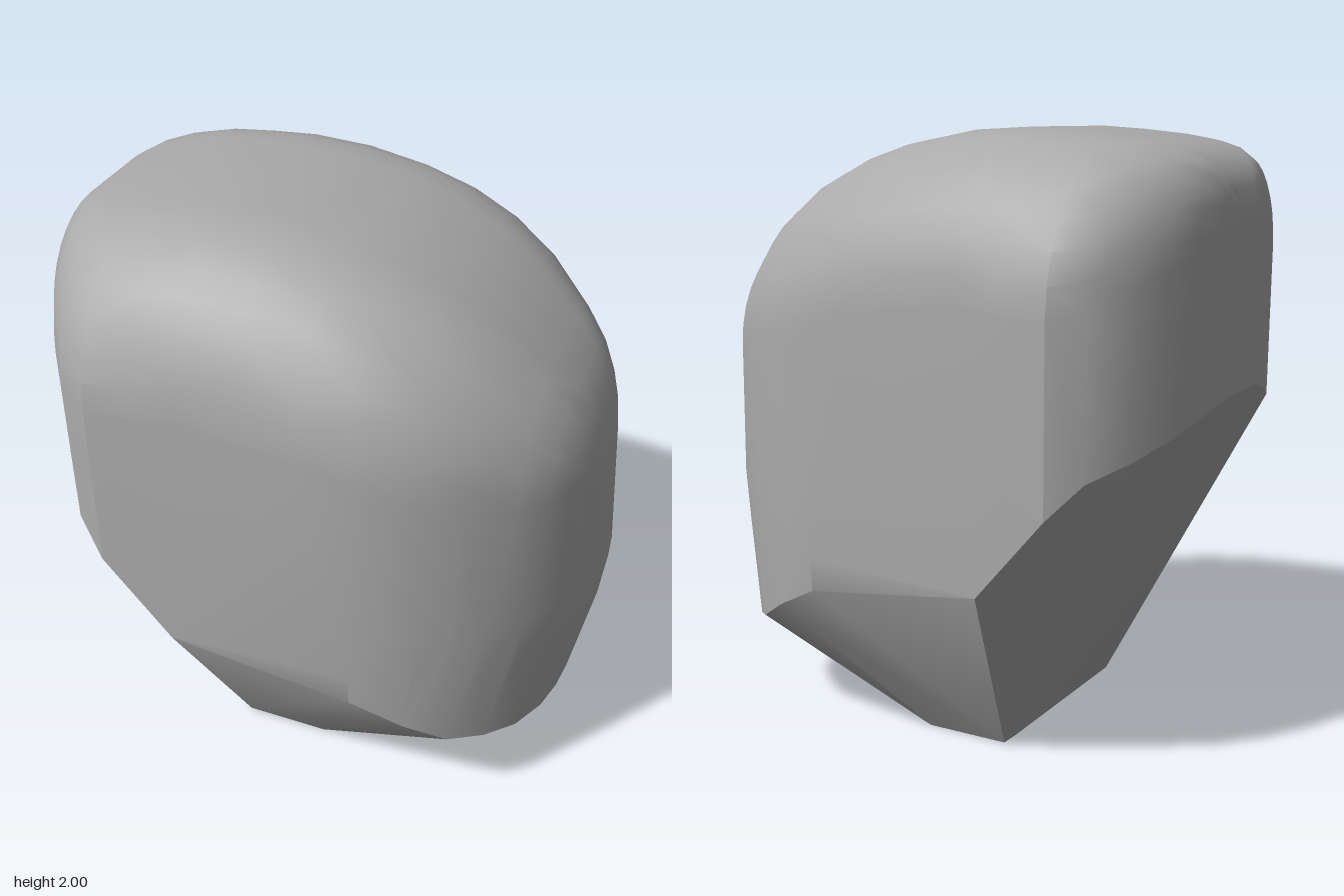
import * as THREE from 'three';
import { ConvexGeometry } from 'three/addons/geometries/ConvexGeometry.js';
import { toCreasedNormals } from 'three/addons/utils/BufferGeometryUtils.js';

// Upright cross-sections along x: [x, top height, half width]
const sections = [
  [-0.92, 1.75, 0.1], [-0.905, 1.82, 0.2], [-0.88, 1.87, 0.32], [-0.84, 1.91, 0.44],
  [-0.78, 1.94, 0.55], [-0.7, 1.96, 0.655], [-0.6, 1.975, 0.713], [-0.45, 1.99, 0.712],
  [-0.3, 2, 0.711], [-0.1, 1.99, 0.709], [0.1, 1.953, 0.707], [0.25, 1.905, 0.704],
  [0.4, 1.837, 0.665], [0.55, 1.74, 0.59], [0.7, 1.605, 0.465], [0.77, 1.53, 0.385],
  [0.82, 1.45, 0.3], [0.85, 1.38, 0.23], [0.873, 1.29, 0.14],
];

// Half of the rounded plan at the widest height: [x, z]
const girth = [
  [0.25, 0.704], [0.35, 0.682], [0.45, 0.642], [0.55, 0.588], [0.65, 0.515],
  [0.74, 0.427], [0.82, 0.32], [0.875, 0.21], [0.905, 0.1], [0.915, 0],
];

// Half of the lower rim, where the side walls meet the tapering underside: [x, y, z]
const rim = [
  [-0.92, 1.2, 0.1], [-0.9, 1.17, 0.22], [-0.86, 1.115, 0.38], [-0.79, 1.06, 0.53],
  [-0.7, 1.01, 0.655], [-0.6, 0.9, 0.712], [-0.37, 0.63, 0.711], [0.25, 0.54, 0.695],
  [0.42, 0.45, 0.65], [0.55, 0.365, 0.575], [0.65, 0.325, 0.475], [0.73, 0.3, 0.365],
  [0.785, 0.285, 0.23], [0.81, 0.28, 0.11], [0.82, 0.28, 0],
];

// Half of the small flat foot: [x, y, z]
const foot = [[-0.3, 0.03, 0.34], [-0.27, 0.005, 0.36], [-0.25, 0, 0.35], [0.02, 0, 0.36]];

export function createModel() {
  const points = [];
  const addPair = (x, y, z) => points.push(new THREE.Vector3(x, y, z), new THREE.Vector3(x, y, -z));

  // Crown: every section has a flat top rounding over into the sides
  for (const [x, top, w] of sections) {
    const drop = 0.5 * w / 0.71;
    for (let i = 0; i <= 8; i++) {
      const a = (i / 8) * Math.PI / 2;
      addPair(x, top - drop * (1 - Math.cos(a)), w * (0.35 + 0.65 * Math.sin(a)));
    }
  }
  // Bulging end wall
  for (const [y, reach] of [[0.65, 0.895], [0.82, 0.915], [1.05, 0.9], [1.28, 0.876]]) {
    for (const [x, z] of girth) {
      addPair(0.25 + (x - 0.25) * (reach - 0.25) / 0.665, y, z);
    }
  }
  for (const p of [...rim, ...foot]) addPair(...p);

  const stone = new THREE.MeshStandardMaterial({ color: 0xaaaaaa });
  stone.name = 'grey';
  const body = new THREE.Mesh(toCreasedNormals(new ConvexGeometry(points), 0.45), stone);
  body.name = 'roundedBody';

  const group = new THREE.Group();
  group.name = 'roundedBlock';
  group.add(body);
  return group;
}
